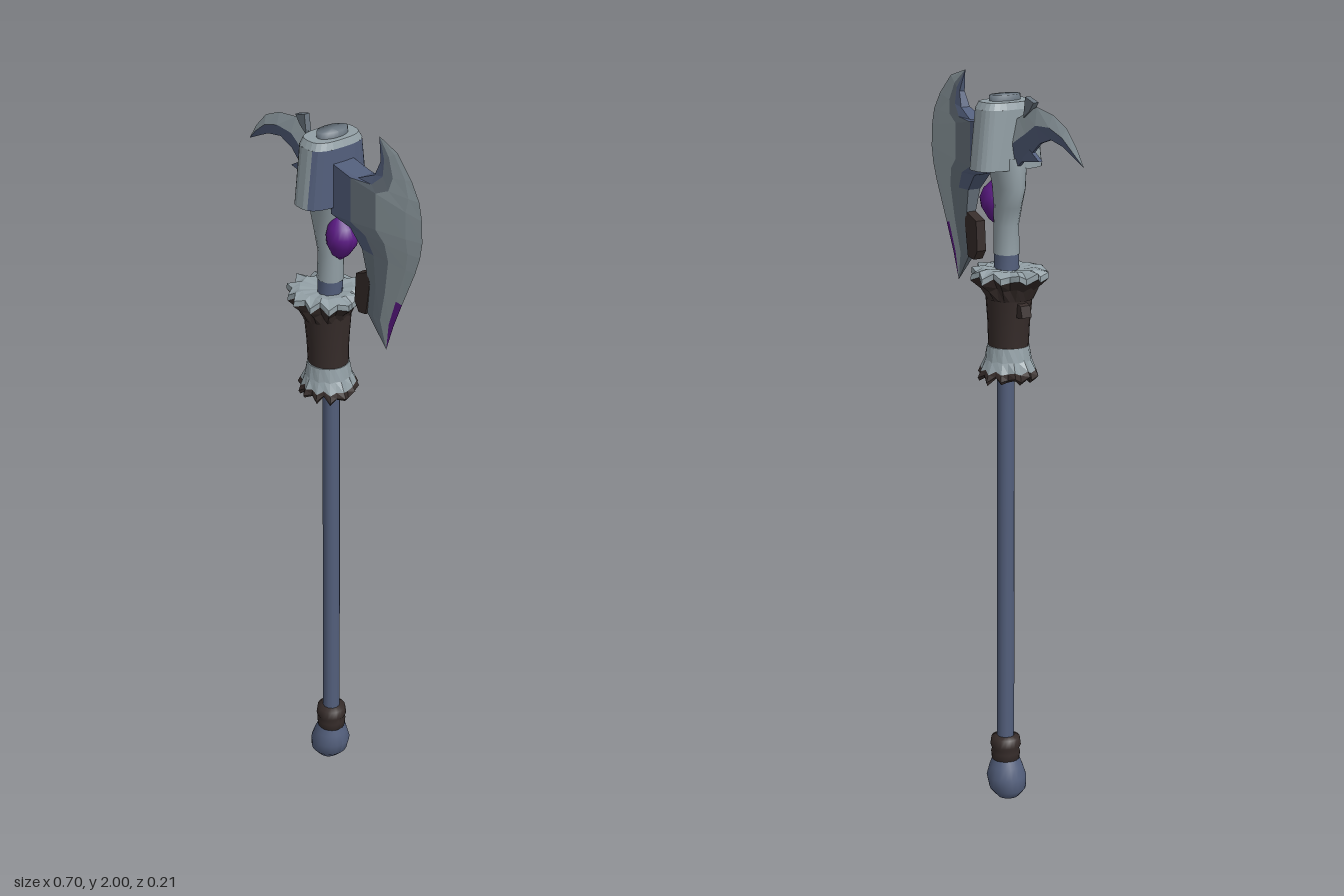
import * as THREE from 'three';

const mat = (name, color, extra = {}) => {
  const m = new THREE.MeshStandardMaterial({ color, ...extra });
  m.name = name;
  return m;
};

export function createModel() {
  const light = mat('pale steel', 0x929fa5);
  const mid = mat('grey steel', 0x69747e);
  const steel = mat('blue steel', 0x535f7c);
  const brown = mat('dark leather', 0x362c2a);
  const purple = mat('purple crystal', 0x5c1a85);
  const root = new THREE.Group();
  root.name = 'battleAxe';

  const add = (name, geometry, material) => {
    const mesh = new THREE.Mesh(geometry, material);
    mesh.name = name;
    root.add(mesh);
    return mesh;
  };

  // Stack of ellipses, bottom to top: [y, centreX, radiusX, radiusZ]; pow < 1 squares the corners
  const loft = (name, rings, material, { sides = 20, pow = 1, start = 0, sweep = Math.PI * 2 } = {}) => {
    const pos = [], idx = [];
    const bend = (v) => Math.sign(v) * Math.abs(v) ** pow;
    rings.forEach(([y, cx, rx, rz]) => {
      for (let i = 0; i <= sides; i++) {
        const a = start + (sweep * i) / sides;
        pos.push(cx + rx * bend(Math.cos(a)), y, rz * bend(Math.sin(a)));
      }
    });
    const n = sides + 1;
    for (let r = 0; r < rings.length - 1; r++) {
      for (let i = 0; i < sides; i++) {
        const a = r * n + i;
        idx.push(a, a + n, a + 1, a + 1, a + n, a + n + 1);
      }
    }
    let g = new THREE.BufferGeometry();
    g.setAttribute('position', new THREE.Float32BufferAttribute(pos, 3));
    g.setIndex(idx);
    if (pow !== 1) g = g.toNonIndexed();
    g.computeVertexNormals();
    return add(name, g, material);
  };

  // Pommel, grip wrap and shaft
  loft('pommel', [[0, -0.02, 0.001, 0.001], [0.006, -0.022, 0.03, 0.03], [0.03, -0.02, 0.052, 0.05],
    [0.065, -0.014, 0.055, 0.055], [0.095, -0.012, 0.046, 0.046], [0.12, -0.01, 0.036, 0.036]], steel);
  loft('gripWrap', [[0.11, -0.01, 0.03, 0.03], [0.112, -0.01, 0.038, 0.038], [0.135, -0.01, 0.041, 0.04],
    [0.145, -0.01, 0.037, 0.037], [0.155, -0.01, 0.043, 0.042], [0.178, -0.01, 0.04, 0.039],
    [0.184, -0.01, 0.022, 0.022]], brown);
  loft('shaft', [[0.16, -0.01, 0.024, 0.024], [1.5, -0.01, 0.023, 0.023]], steel, { sides: 12 });

  // Leather sleeve
  loft('sleeve', [[1.27, -0.022, 0.054, 0.052], [1.36, -0.024, 0.057, 0.055],
    [1.47, -0.026, 0.068, 0.063]], brown);

  // Ragged fur rings: lathe profile of [radius, y, jaggedness], the teeth pushed in and out
  const ragged = (name, profile, material, cx) => {
    const seg = 26;
    const g = new THREE.LatheGeometry(profile.map(([r, y]) => new THREE.Vector2(r, y)), seg);
    const p = g.attributes.position;
    for (let k = 0; k < p.count; k++) {
      const i = Math.floor(k / profile.length) % seg;
      const jag = profile[k % profile.length][2];
      const tooth = (i % 2 ? -1 : 1) * (0.6 + 0.4 * Math.sin(i * 2.3));
      p.setXYZ(k, p.getX(k) * (1 + jag * tooth), p.getY(k) - jag * 0.07 * Math.sin(i * 3.7), p.getZ(k) * (1 + jag * tooth));
    }
    const flat = g.toNonIndexed();
    flat.computeVertexNormals();
    flat.translate(cx, 0, 0);
    return add(name, flat, material);
  };
  ragged('lowerFur', [[0.073, 1.238, 0.08], [0.062, 1.265, 0.03], [0.056, 1.302, 0], [0.04, 1.304, 0]], light, -0.022);
  ragged('lowerFurHem', [[0.022, 1.235, 0], [0.072, 1.215, 0.15], [0.078, 1.222, 0.12], [0.073, 1.238, 0.08]], brown, -0.022);
  ragged('upperFurUnderside', [[0.062, 1.43, 0], [0.076, 1.463, 0.08], [0.099, 1.488, 0.13]], brown, -0.03);
  ragged('upperFur', [[0.099, 1.488, 0.13], [0.098, 1.503, 0.12], [0.07, 1.512, 0.03], [0.02, 1.505, 0]], light, -0.03);

  // Neck below the axe head
  loft('neckBase', [[1.49, -0.015, 0.033, 0.033], [1.55, -0.014, 0.034, 0.032]], steel, { sides: 12 });
  loft('neck', [[1.545, -0.014, 0.036, 0.034], [1.62, -0.012, 0.035, 0.032], [1.67, -0.02, 0.042, 0.034],
    [1.72, -0.025, 0.056, 0.036], [1.8, -0.015, 0.056, 0.05]], light, { sides: 14 });

  // Crystal teardrop held in the curve of the blade
  loft('crystal', [[1.612, 0.028, 0.001, 0.001], [1.63, 0.03, 0.022, 0.023], [1.66, 0.034, 0.039, 0.039],
    [1.685, 0.036, 0.043, 0.042], [1.71, 0.032, 0.035, 0.034], [1.732, 0.026, 0.016, 0.016],
    [1.738, 0.025, 0.001, 0.001]], purple);

  // Head block, wider at the bottom, with a cap
  const block = [[1.77, -0.011, 0.053, 0.1], [1.925, -0.011, 0.052, 0.082]];
  loft('headBlockPale', block, light, { sides: 16, pow: 0.7, start: 1.2, sweep: Math.PI * 2 - 2.4 });
  loft('headBlockBlue', block, steel, { sides: 8, pow: 0.7, start: -1.2, sweep: 2.4 });
  loft('headTop', [[1.925, -0.011, 0.052, 0.082], [1.943, -0.011, 0.045, 0.072], [1.944, -0.011, 0.001, 0.001]], light, { sides: 24, pow: 0.7 });
  loft('headUnderside', [[1.775, -0.011, 0.001, 0.001], [1.77, -0.011, 0.053, 0.1]], steel, { sides: 24, pow: 0.7 });
  loft('headCap', [[1.94, -0.006, 0.026, 0.046], [1.958, -0.006, 0.025, 0.045], [1.959, -0.006, 0.001, 0.001]], mid);

  // Two-sided tapered sheet between an inner and an outer edge, sorted into one mesh per colour.
  // rows: [innerX, innerY, outerX, outerY, halfThickness]; cols: [fraction, thickness factor]
  const sheet = (name, rows, cols, pick) => {
    const faces = new Map();
    const at = (r, c, s) => {
      const [ix, iy, ox, oy, t] = rows[r], [f, k] = cols[c];
      return [ix + (ox - ix) * f, iy + (oy - iy) * f, s * t * k];
    };
    const quad = (m, a, b, c, d) => {
      if (!faces.has(m)) faces.set(m, []);
      faces.get(m).push(...a, ...b, ...c, ...a, ...c, ...d);
    };
    for (let r = 0; r < rows.length - 1; r++) {
      for (let c = 0; c < cols.length - 1; c++) {
        const m = pick(r, c);
        quad(m, at(r, c, 1), at(r + 1, c, 1), at(r + 1, c + 1, 1), at(r, c + 1, 1));
        quad(m, at(r, c, -1), at(r, c + 1, -1), at(r + 1, c + 1, -1), at(r + 1, c, -1));
      }
      quad(pick(r, 0), at(r, 0, 1), at(r, 0, -1), at(r + 1, 0, -1), at(r + 1, 0, 1));
    }
    for (const [m, list] of faces) {
      const g = new THREE.BufferGeometry();
      g.setAttribute('position', new THREE.Float32BufferAttribute(list, 3));
      g.computeVertexNormals();
      add(`${name} ${m.name}`, g, m);
    }
  };

  // Crescent blade
  sheet('blade', [
    [0.177, 2.0, 0.177, 2.0, 0], [0.193, 1.942, 0.246, 1.979, 0.009], [0.177, 1.902, 0.3, 1.926, 0.015],
    [0.124, 1.878, 0.33, 1.88, 0.024], [0.03, 1.888, 0.341, 1.835, 0.036], [0.03, 1.75, 0.344, 1.777, 0.036],
    [0.098, 1.735, 0.337, 1.735, 0.028], [0.137, 1.69, 0.32, 1.687, 0.021], [0.156, 1.61, 0.272, 1.581, 0.015],
    [0.147, 1.515, 0.24, 1.507, 0.01], [0.214, 1.433, 0.214, 1.433, 0]],
  [[0, 0.9], [0.25, 0.9], [0.52, 0.62], [0.84, 0.28], [1, 0]],
  (r, c) => (c === 3 && r >= 8 ? purple : c >= 2 ? light : c === 1 ? mid : r < 7 ? steel : mid));

  // Curved rear spike
  sheet('spike', [
    [-0.352, 1.815, -0.352, 1.815, 0], [-0.31, 1.836, -0.32, 1.862, 0.008], [-0.267, 1.857, -0.278, 1.905, 0.011],
    [-0.214, 1.868, -0.22, 1.931, 0.012], [-0.167, 1.852, -0.15, 1.942, 0.012], [-0.13, 1.82, -0.1, 1.92, 0.013],
    [-0.087, 1.793, -0.07, 1.905, 0.015], [-0.04, 1.757, -0.04, 1.894, 0.018]],
  [[0, 0.3], [0.5, 1], [1, 0.1]], (r, c) => (c ? light : steel));

  // Flat plates: leather tag behind the blade and the barbs on the spike
  const plate = (name, points, depth, material) => {
    const shape = new THREE.Shape(points.map(([x, y]) => new THREE.Vector2(x, y)));
    const g = new THREE.ExtrudeGeometry(shape, { depth, bevelEnabled: false });
    g.translate(0, 0, -depth / 2);
    return add(name, g, material);
  };
  plate('leatherTag', [[0.108, 1.61], [0.103, 1.53], [0.12, 1.505], [0.148, 1.51], [0.162, 1.6], [0.156, 1.63]], 0.028, brown);
  plate('upperBarb', [[-0.145, 1.952], [-0.128, 1.93], [-0.1, 1.91], [-0.108, 1.963]], 0.016, mid);
  plate('lowerBarb', [[-0.167, 1.806], [-0.09, 1.795], [-0.11, 1.84], [-0.135, 1.825]], 0.012, steel);
  plate('sleeveTab', [[-0.108, 1.39], [-0.07, 1.385], [-0.07, 1.43], [-0.1, 1.42]], 0.03, brown);

  return root;
}
